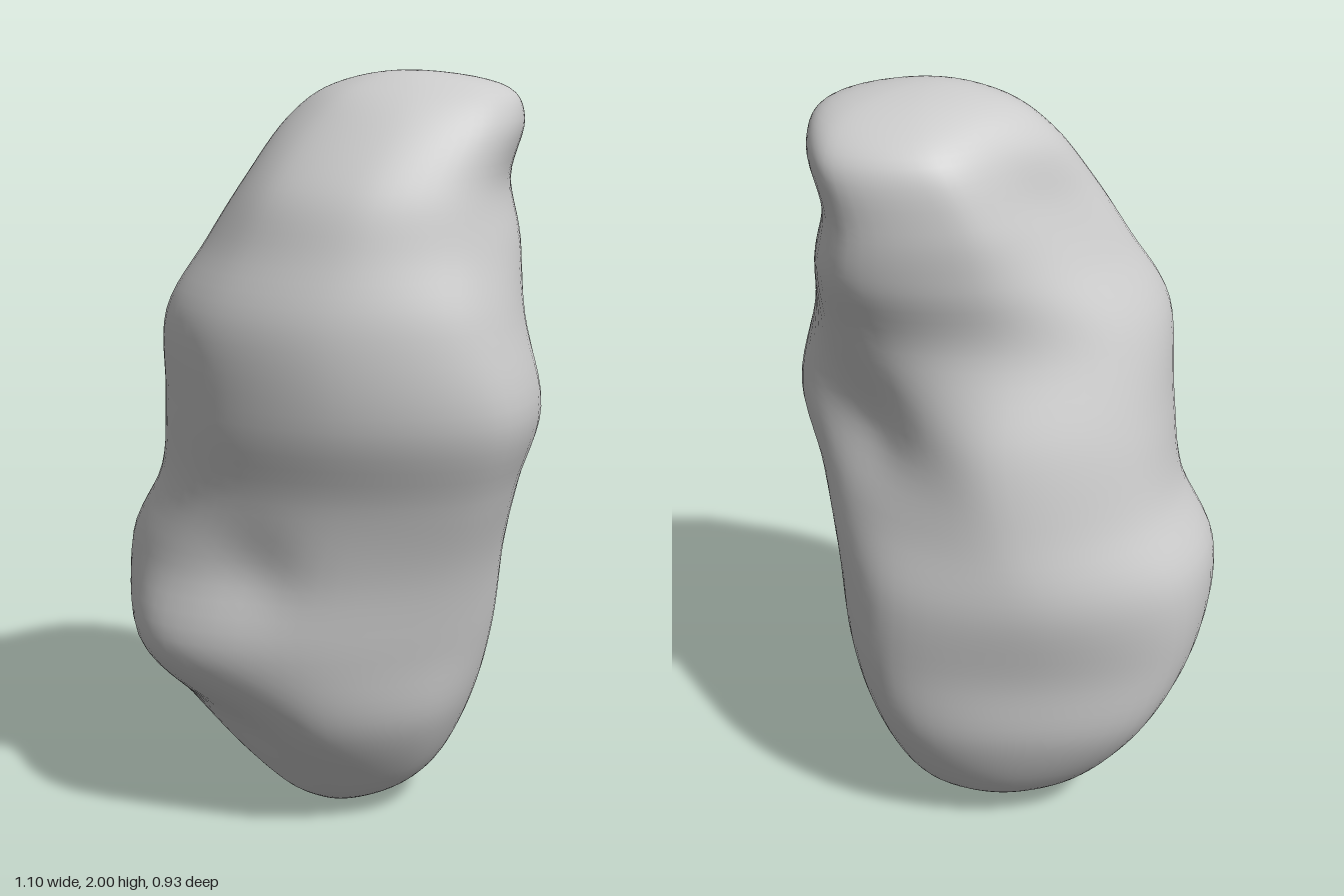
import * as THREE from 'three';
import { mergeVertices } from 'three/addons/utils/BufferGeometryUtils.js';

// Cross-sections: height, x range, z range, then fullness of the four corners
// in the order (+x+z), (-x+z), (-x-z), (+x-z); 0.71 is an ellipse, 1 a box.
const SECTIONS = [
  [0.00, 0.03, 0.03, -0.04, -0.04, 0.7, 0.7, 0.7, 0.7],
  [0.04, -0.13, 0.18, -0.22, 0.09, 0.7, 0.68, 0.72, 0.72],
  [0.13, -0.26, 0.30, -0.33, 0.18, 0.72, 0.62, 0.77, 0.74],
  [0.32, -0.41, 0.39, -0.41, 0.305, 0.72, 0.66, 0.8, 0.78],
  [0.53, -0.525, 0.44, -0.425, 0.355, 0.71, 0.8, 0.77, 0.8],
  [0.76, -0.545, 0.465, -0.46, 0.36, 0.77, 0.72, 0.73, 0.74],
  [0.96, -0.455, 0.50, -0.43, 0.39, 0.8, 0.72, 0.73, 0.64],
  [1.17, -0.43, 0.55, -0.385, 0.455, 0.79, 0.7, 0.73, 0.56],
  [1.40, -0.415, 0.505, -0.30, 0.46, 0.76, 0.68, 0.7, 0.75],
  [1.58, -0.31, 0.485, -0.315, 0.41, 0.72, 0.7, 0.61, 0.84],
  [1.73, -0.215, 0.455, -0.32, 0.355, 0.73, 0.72, 0.56, 0.86],
  [1.88, -0.11, 0.49, -0.295, 0.24, 0.73, 0.71, 0.58, 0.81],
  [1.965, 0.01, 0.43, -0.17, 0.13, 0.72, 0.72, 0.66, 0.74],
  [2.00, 0.20, 0.20, 0.01, 0.01, 0.7, 0.7, 0.7, 0.7],
];

// Soft hollows: centre x, y, z, radius, depth
const HOLLOWS = [
  [-0.16, 0.76, 0.34, 0.12, 0.025],
  [-0.25, 0.25, 0.2, 0.12, 0.025],
  [0.4, 1.13, -0.12, 0.15, 0.04],
];

// Eight points around one cross-section
function ring([y, x0, x1, z0, z1, ...corners]) {
  const cx = (x0 + x1) / 2, cz = (z0 + z1) / 2;
  const hx = (x1 - x0) / 2, hz = (z1 - z0) / 2;
  return Array.from({ length: 8 }, (_, i) => {
    const a = (i * Math.PI) / 4;
    const k = i % 2 ? corners[(i - 1) / 2] : 1;
    return new THREE.Vector3(
      cx + hx * k * Math.round(Math.cos(a)), y, cz + hz * k * Math.round(Math.sin(a)));
  });
}

function pressHollows(p) {
  for (const [x, y, z, r, depth] of HOLLOWS) {
    const c = new THREE.Vector3(x, y, z);
    const amount = depth * Math.exp(-p.distanceToSquared(c) / (r * r));
    const inward = new THREE.Vector3(-x, 0, -z).normalize();
    p.addScaledVector(inward, amount);
  }
  return p;
}

function boulderGeometry(around = 64, up = 78) {
  const rings = SECTIONS.map(ring);
  const n = rings.length;
  // Each upright curve runs on over both poles so the ends are rounded
  const columns = Array.from({ length: 8 }, (_, i) => new THREE.CatmullRomCurve3(
    [rings[1][(i + 4) % 8], ...rings.map((r) => r[i]), rings[n - 2][(i + 4) % 8]],
    false, 'catmullrom', 0.5));

  const positions = [], index = [];
  for (let j = 0; j <= up; j++) {
    const t = (1 + (j / up) * (n - 1)) / (n + 1);
    const loop = new THREE.CatmullRomCurve3(
      columns.map((c) => c.getPoint(t)), true, 'catmullrom', 0.5);
    for (let i = 0; i < around; i++) {
      const p = pressHollows(loop.getPoint(i / around));
      positions.push(p.x, p.y, p.z);
      if (j === up) continue;
      const a = j * around + i, b = j * around + ((i + 1) % around);
      if (j < up - 1) index.push(a, a + around, b + around);
      if (j > 0) index.push(a, b + around, b);
      if (j === up - 1) index.push(a, a + around, b);
    }
  }
  const geometry = new THREE.BufferGeometry();
  geometry.setAttribute('position', new THREE.Float32BufferAttribute(positions, 3));
  geometry.setIndex(index);
  const merged = mergeVertices(geometry, 1e-5);
  merged.computeVertexNormals();
  return merged;
}

export function createModel() {
  const group = new THREE.Group();
  group.name = 'boulder';
  const stone = new THREE.Mesh(
    boulderGeometry(), new THREE.MeshStandardMaterial({ color: 0xcccccc }));
  stone.name = 'stone';
  group.add(stone);
  return group;
}
